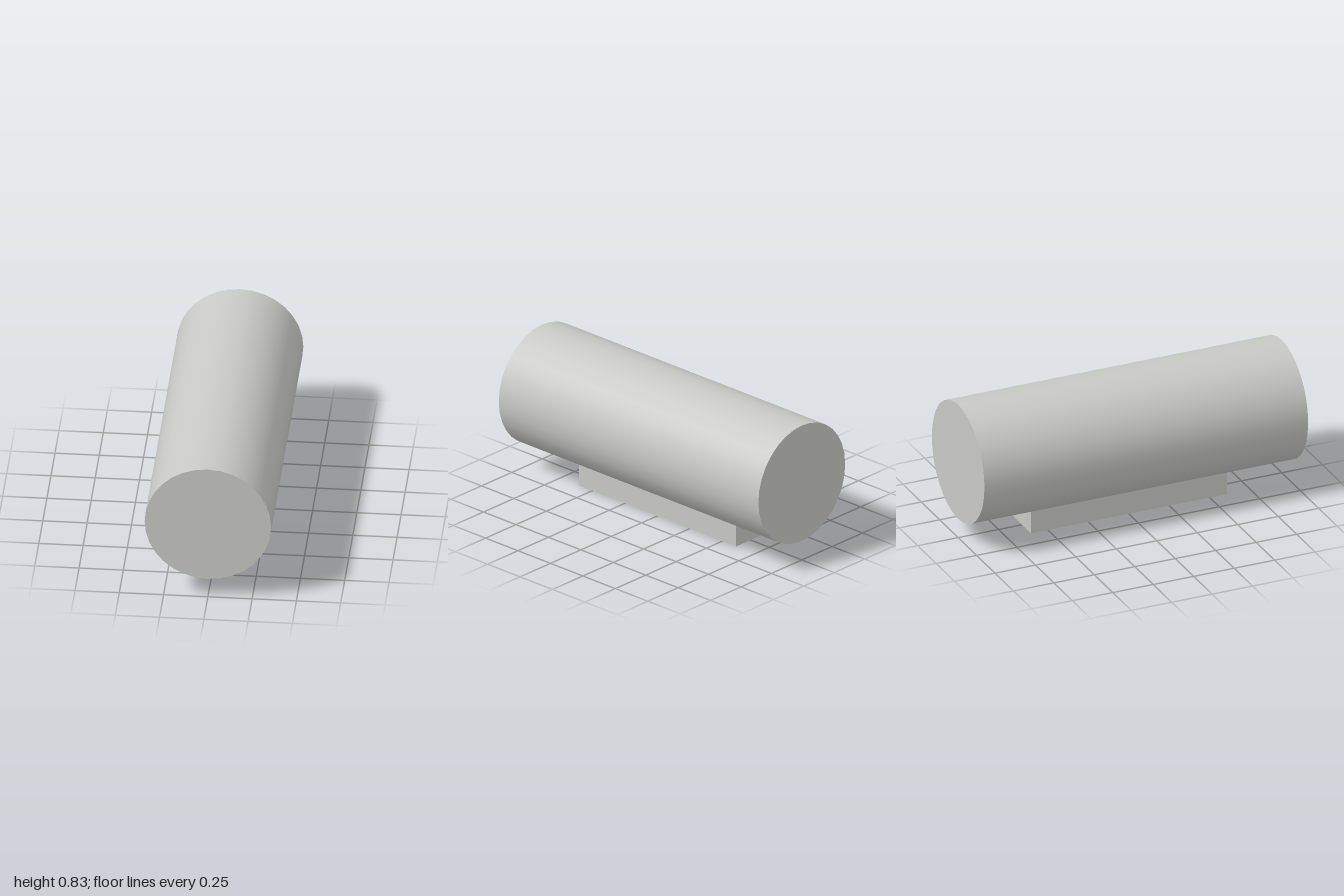
import * as THREE from 'three';

export function createModel() {
  const group = new THREE.Group();
  const lightGrey = new THREE.MeshStandardMaterial({ color: 0xc8c8c4 });
  lightGrey.name = 'lightGrey';

  const addPart = (name, geometry, y) => {
    const mesh = new THREE.Mesh(geometry, lightGrey);
    mesh.name = name;
    mesh.position.y = y;
    group.add(mesh);
  };

  // Solid smooth drum lying along z
  const radius = 0.357, centreY = 0.474;
  addPart('drum', new THREE.CylinderGeometry(radius, radius, 2, 32).rotateX(Math.PI / 2), centreY);

  // Mounting rail under the drum, its top edges meeting the curved wall
  const railHeight = 0.14;
  addPart('mountingRail', new THREE.BoxGeometry(0.24, railHeight, 1.21), railHeight / 2);

  return group;
}
